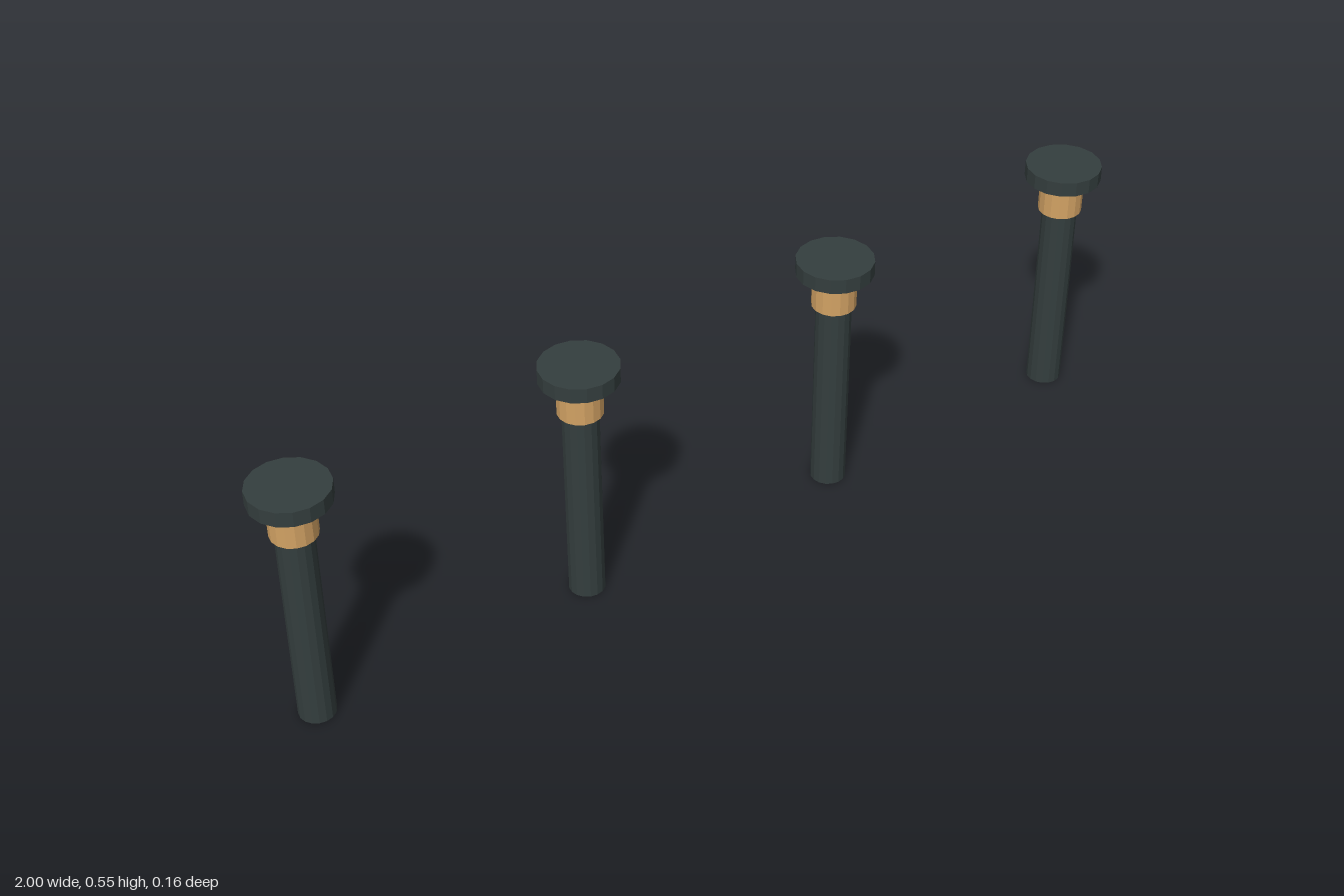
import * as THREE from 'three';

export function createModel() {
  const model = new THREE.Group();
  const dark = new THREE.MeshStandardMaterial({ name: 'dark iron', color: 0x343e3e, flatShading: true });
  const brass = new THREE.MeshStandardMaterial({ name: 'brass', color: 0xd2a264, flatShading: true });

  // Each part of a bollard: name, radius, bottom, top, material
  const parts = [
    ['post', 0.037, 0, 0.438, dark],
    ['collar', 0.046, 0.437, 0.511, brass],
    ['cap', 0.08, 0.514, 0.546, dark],
  ].map(([name, radius, bottom, top, material]) => {
    const geometry = new THREE.CylinderGeometry(radius, radius, top - bottom, 16);
    geometry.translate(0, (bottom + top) / 2, 0);
    return { name, geometry, material };
  });

  // Four evenly spaced bollards in a row
  for (let i = 0; i < 4; i++) {
    const bollard = new THREE.Group();
    bollard.name = 'bollard' + (i + 1);
    for (const { name, geometry, material } of parts) {
      const mesh = new THREE.Mesh(geometry, material);
      mesh.name = name;
      bollard.add(mesh);
    }
    bollard.position.x = -0.92 + (i * 1.84) / 3;
    model.add(bollard);
  }
  return model;
}
